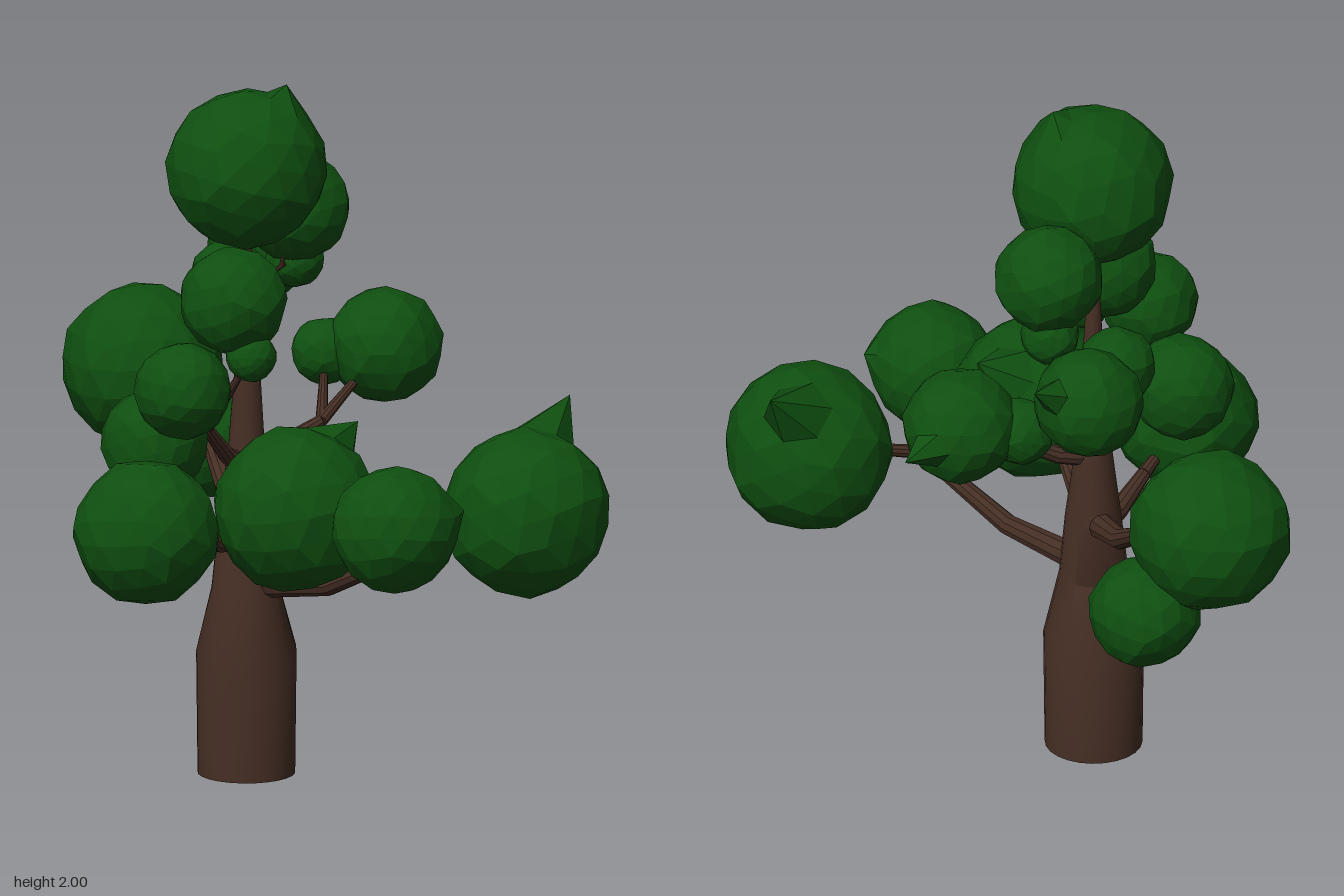
import * as THREE from 'three';
import { toCreasedNormals } from 'three/addons/utils/BufferGeometryUtils.js';

const bark = new THREE.MeshStandardMaterial({ color: 0x452e24 });
bark.name = 'bark brown';
const leaf = new THREE.MeshStandardMaterial({ color: 0x0f4f10 });
leaf.name = 'leaf green';

const vec = (x, y, z) => new THREE.Vector3(x, y, z);

// Trunk stations: height, depth, radius, forward lean of the ring
const trunkX = -0.235;
const trunk = [
  [0, 0.035, 0.138, 0], [0.35, 0.035, 0.142, 0.75], [0.54, 0.052, 0.097, 0], [0.74, 0, 0.08, 0],
  [0.94, 0.03, 0.052, 0], [1.28, -0.01, 0.028, 0], [1.62, 0.04, 0.01, 0],
];

// Each branch leaves the trunk at a height, bends at an elbow and forks to its leaf clumps
// (clump: centre, radius, and an optional offset of one pulled-out corner)
const branches = [
  { height: 0.55, radius: 0.042, elbow: [0.26, 0.73, 0.38], clumps: [
    { at: [0.575, 0.82, 0.24], r: 0.24, corner: [0.1, 0.28, -0.26] },
    { at: [0.24, 0.865, 0.65], r: 0.18, corner: [0.19, 0.05, -0.04] }] },
  { height: 0.72, radius: 0.042, elbow: [-0.4, 0.91, -0.42], clumps: [
    { at: [-0.585, 1.02, -0.6], r: 0.23 },
    { at: [-0.4, 0.785, -0.65], r: 0.16 }] },
  { height: 0.92, radius: 0.036, elbow: [-0.03, 1, -0.06], clumps: [
    { at: [0.13, 1.17, -0.28], r: 0.165, corner: [0.15, -0.02, -0.19] },
    { at: [-0.04, 1.15, -0.27], r: 0.095 }] },
  { height: 1.08, radius: 0.026, elbow: [-0.25, 1.22, -0.24], clumps: [
    { at: [-0.24, 1.39, -0.54], r: 0.155, corner: [0.15, 0.11, -0.16] },
    { at: [-0.31, 1.36, -0.26], r: 0.11 }] },
  { height: 1.28, radius: 0.018, elbow: [-0.24, 1.3, 0.13], clumps: [
    { at: [-0.255, 1.415, 0.235], r: 0.153 }] },
  { height: 1.42, radius: 0.013, elbow: [-0.15, 1.43, -0.12], clumps: [
    { at: [-0.115, 1.59, -0.18], r: 0.155 },
    { at: [-0.12, 1.43, -0.22], r: 0.083 }] },
  { height: 0.88, radius: 0.034, elbow: [-0.33, 1.04, 0.22], clumps: [
    { at: [-0.38, 1.2, 0.43], r: 0.138 },
    { at: [-0.475, 1.01, 0.27], r: 0.15 },
    { at: [-0.2, 1.265, 0.28], r: 0.072 }] },
  { height: 0.72, radius: 0.04, elbow: [-0.15, 0.79, 0.22], clumps: [
    { at: [-0.06, 0.87, 0.46], r: 0.235, corner: [0.16, 0.21, -0.2] }] },
  { height: 0.68, radius: 0.04, elbow: [-0.37, 0.74, 0.25], clumps: [
    { at: [-0.48, 0.8, 0.48], r: 0.207 }] },
];
const crown = { at: [-0.23, 1.76, 0.07], r: 0.228, corner: [0.11, 0.24, -0.02] };

// Centre of the trunk at a height
function trunkAt(y) {
  const i = trunk.findIndex((s) => s[0] > y);
  const [y0, z0] = trunk[i - 1], [y1, z1] = trunk[i];
  return vec(trunkX, y, THREE.MathUtils.mapLinear(y, y0, y1, z0, z1));
}

// Tapered limb through stations { c, r, lean }, closed at both ends
function limb(name, stations, sides) {
  const last = stations.length - 1;
  const pos = [], index = [];
  const step = (i) => stations[i + 1].c.clone().sub(stations[i].c).normalize();
  const whole = stations[last].c.clone().sub(stations[0].c);
  stations.forEach(({ c, r, lean = 0 }, i) => {
    const dir = vec(0, 0, lean);
    if (i > 0) dir.add(step(i - 1));
    if (i < last) dir.add(step(i));
    dir.normalize();
    const u = vec(whole.z, 0, -whole.x).normalize();
    u.addScaledVector(dir, -u.dot(dir)).normalize();
    const v = dir.clone().cross(u);
    for (let s = 0; s < sides; s++) {
      const a = (s / sides) * Math.PI * 2;
      const p = c.clone().addScaledVector(u, r * Math.cos(a)).addScaledVector(v, r * Math.sin(a));
      pos.push(p.x, p.y, p.z);
    }
  });
  for (let i = 0; i < last; i++) {
    for (let s = 0; s < sides; s++) {
      const a = i * sides + s, b = i * sides + ((s + 1) % sides);
      index.push(a, b, b + sides, a, b + sides, a + sides);
    }
  }
  const end = last * sides;
  for (let s = 1; s < sides - 1; s++) index.push(0, s + 1, s, end, end + s, end + s + 1);
  const g = new THREE.BufferGeometry();
  g.setAttribute('position', new THREE.Float32BufferAttribute(pos, 3));
  g.setIndex(index);
  const mesh = new THREE.Mesh(toCreasedNormals(g, 0.5), bark);
  mesh.name = name;
  return mesh;
}

// Faceted leaf clump with slightly uneven corners
function leafClump({ at, r, corner }, seed) {
  const g = new THREE.IcosahedronGeometry(1, 2);
  g.rotateX(seed * 1.3);
  g.rotateY(seed * 2.1);
  const p = g.attributes.position, v = vec(0, 0, 0);
  const tip = corner && vec(...corner).divideScalar(r);
  const nearest = vec(0, 0, 0);
  for (let i = 0; tip && i < p.count; i++) {
    v.fromBufferAttribute(p, i);
    if (v.dot(tip) > nearest.dot(tip)) nearest.copy(v);
  }
  for (let i = 0; i < p.count; i++) {
    v.fromBufferAttribute(p, i);
    if (tip && v.distanceTo(nearest) < 1e-3) v.copy(tip);
    else v.multiplyScalar(0.995 + 0.025 * Math.sin(7 * v.x + 9 * v.y + 8 * v.z + seed));
    p.setXYZ(i, v.x, v.y, v.z);
  }
  g.scale(r, r, r);
  g.translate(...at);
  g.computeVertexNormals();
  const mesh = new THREE.Mesh(g, leaf);
  mesh.name = 'leafClump';
  return mesh;
}

export function createModel() {
  const tree = new THREE.Group();
  tree.name = 'tree';
  tree.add(limb('trunk', trunk.map(([y, z, r, lean]) => ({ c: vec(trunkX, y, z), r, lean })), 24));
  tree.add(leafClump(crown, 1));

  let seed = 2;
  branches.forEach(({ height, radius, elbow, clumps }) => {
    const group = new THREE.Group();
    group.name = 'branch';
    const start = trunkAt(height), bend = vec(...elbow);
    // the lower half sags a little before rising to the elbow
    const sag = start.clone().lerp(bend, 0.5);
    sag.y -= 0.08 * start.distanceTo(bend);
    group.add(limb('bough', [
      { c: start, r: radius }, { c: sag, r: radius * 0.72 }, { c: bend, r: radius * 0.5 },
    ], 10));
    clumps.forEach((clump) => {
      const tipPoint = bend.clone().lerp(vec(...clump.at), 0.8);
      group.add(limb('twig', [{ c: bend, r: radius * 0.5 }, { c: tipPoint, r: radius * 0.28 }], 10));
      group.add(leafClump(clump, seed++));
    });
    tree.add(group);
  });
  return tree;
}
